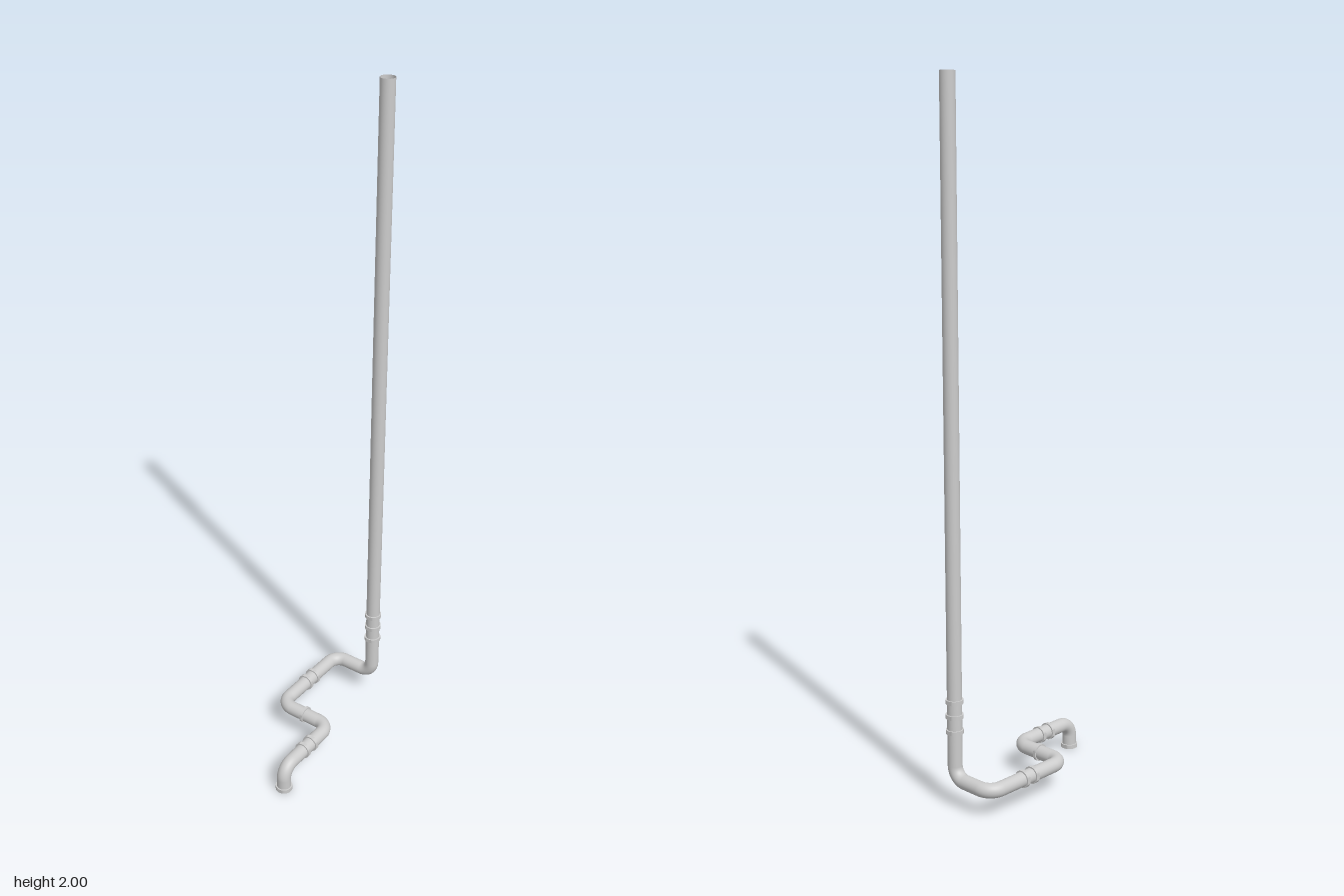
import * as THREE from 'three';
import { toCreasedNormals } from 'three/addons/utils/BufferGeometryUtils.js';

const SIDES = 32, PIPE_R = 0.021, BEND_R = 0.04;

export function createModel() {
  const group = new THREE.Group();
  const material = new THREE.MeshStandardMaterial({ color: 0xcccccc, side: THREE.DoubleSide });
  const v = (x, y, z) => new THREE.Vector3(x, y, z);

  function add(name, geometry) {
    const mesh = new THREE.Mesh(geometry, material);
    mesh.name = name;
    group.add(mesh);
    return mesh;
  }

  // Route of the pipe's centre line, corner by corner
  const route = [
    v(0.09, 0, 0.26), v(0.09, 0.079, 0.26), v(0.09, 0.079, 0.032), v(-0.09, 0.079, 0.032),
    v(-0.09, 0.079, -0.26), v(0.05, 0.079, -0.26), v(0.05, 2, -0.26),
  ];

  // Straight runs joined by quarter-circle elbows
  let start = route[0];
  for (let i = 1; i < route.length; i++) {
    const corner = route[i], next = route[i + 1];
    let end = corner;
    if (next) {
      const dirIn = corner.clone().sub(route[i - 1]).normalize();
      const dirOut = next.clone().sub(corner).normalize();
      const handle = BEND_R * (1 - 0.5523);
      end = corner.clone().addScaledVector(dirIn, -BEND_R);
      const exit = corner.clone().addScaledVector(dirOut, BEND_R);
      const bend = new THREE.CubicBezierCurve3(end,
        corner.clone().addScaledVector(dirIn, -handle),
        corner.clone().addScaledVector(dirOut, handle), exit);
      add('elbow' + i, new THREE.TubeGeometry(bend, 14, PIPE_R, SIDES));
      add('pipe' + i, new THREE.TubeGeometry(new THREE.LineCurve3(start, end), 1, PIPE_R, SIDES));
      start = exit;
    } else {
      add('downpipe', new THREE.TubeGeometry(new THREE.LineCurve3(start, end), 1, PIPE_R, SIDES));
    }
  }

  // Collar rings: square-edged bands around the pipe
  function collar(name, position, axis, width) {
    const h = width / 2, inner = PIPE_R - 0.001, outer = 0.025;
    const profile = [[inner, -h], [outer, -h], [outer, h], [inner, h], [inner, -h]]
      .map(([r, y]) => new THREE.Vector2(r, y));
    const ring = add(name, toCreasedNormals(new THREE.LatheGeometry(profile, SIDES), 0.6));
    ring.position.copy(position);
    ring.quaternion.setFromUnitVectors(v(0, 1, 0), axis);
  }
  const X = v(1, 0, 0), Y = v(0, 1, 0), Z = v(0, 0, 1);
  for (const z of [0.126, 0.164]) collar('frontCollar', v(0.09, 0.079, z), Z, 0.011);
  for (const z of [-0.132, -0.095]) collar('rearCollar', v(-0.09, 0.079, z), Z, 0.011);
  collar('middleCollar', v(0, 0.079, 0.032), X, 0.009);
  for (const y of [0.22, 0.265, 0.308]) collar('downpipeCollar', v(0.05, y, -0.26), Y, 0.012);
  collar('outletLip', v(0.09, 0.006, 0.26), Y, 0.012);

  return group;
}
